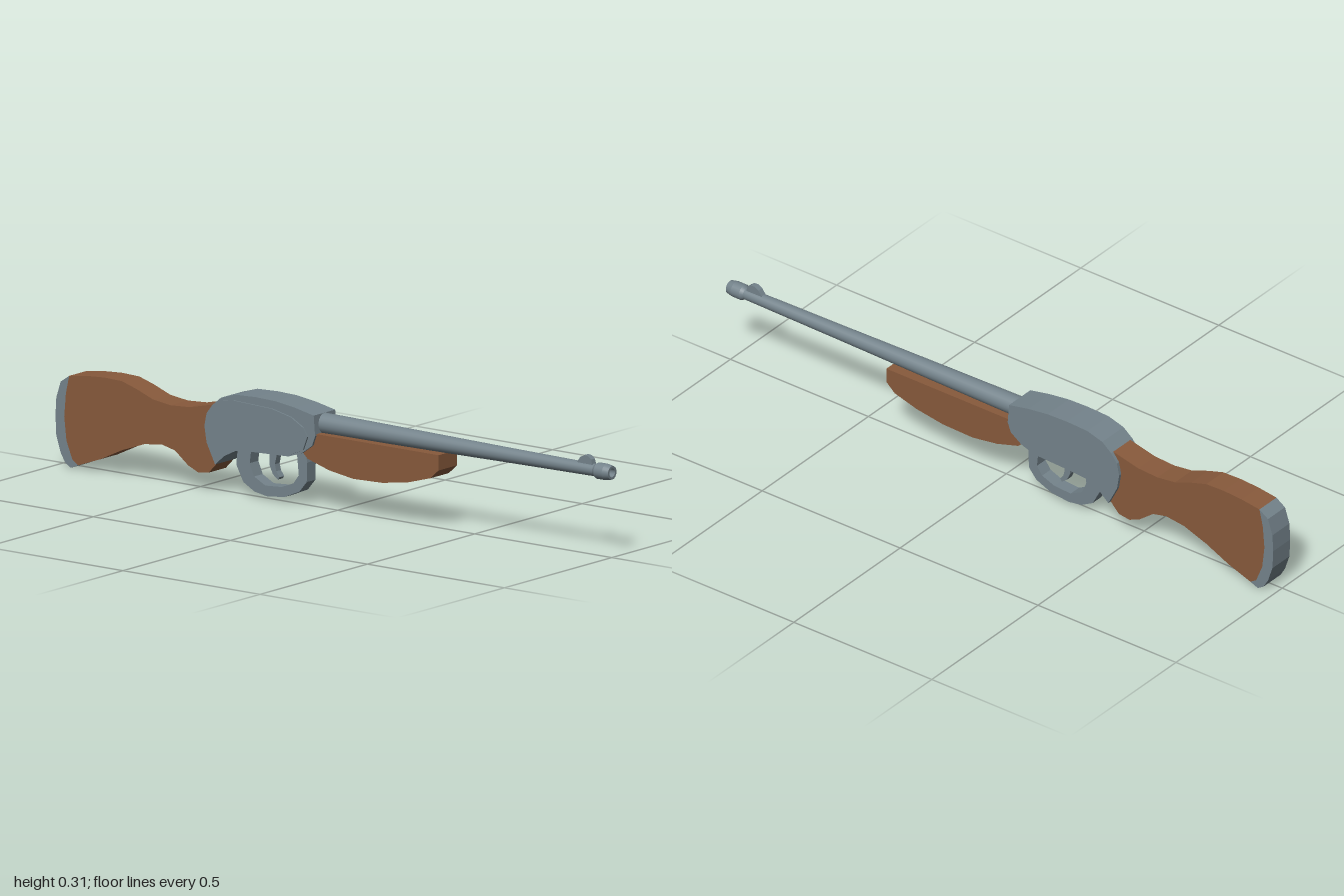
import * as THREE from 'three';

const steel = new THREE.MeshStandardMaterial({ color: 0x74838b });
steel.name = 'steel';
const wood = new THREE.MeshStandardMaterial({ color: 0x885a3c });
wood.name = 'wood';

const MID = -0.002; // centre plane of the body

// Side profile given as [x, y] points, extruded between two depths
function slab(name, points, material, z0, z1) {
  const shape = new THREE.Shape(points.map(([x, y]) => new THREE.Vector2(x, y)));
  const geometry = new THREE.ExtrudeGeometry(shape, { depth: z1 - z0, bevelEnabled: false });
  geometry.translate(0, 0, z0);
  const mesh = new THREE.Mesh(geometry, material);
  mesh.name = name;
  return mesh;
}

// Slab centred on the body plane
const centred = (name, points, material, half) =>
  slab(name, points, material, MID - half, MID + half);

// Turned part along +x from [x, radius] points
function turned(name, points, y) {
  const geometry = new THREE.LatheGeometry(points.map(([x, r]) => new THREE.Vector2(r, x)), 24);
  geometry.rotateZ(-Math.PI / 2);
  geometry.translate(0, y, MID);
  const mesh = new THREE.Mesh(geometry, steel);
  mesh.name = name;
  return mesh;
}

export function createModel() {
  const model = new THREE.Group();
  model.name = 'rifle';

  // Curved joint shared by the stock and the butt plate, bottom to top
  const joint = [[-0.917, 0.011], [-0.938, 0.024], [-0.96, 0.078], [-0.968, 0.147], [-0.962, 0.217], [-0.95, 0.27]];

  // Wooden shoulder stock
  model.add(centred('stock', [
    ...joint,
    [-0.885, 0.279], [-0.82, 0.283], [-0.757, 0.281], [-0.703, 0.265], [-0.644, 0.243],
    [-0.58, 0.235], [-0.51, 0.239], [-0.42, 0.26], [-0.4, 0.2], [-0.41, 0.088],
    [-0.441, 0.056], [-0.479, 0.051], [-0.516, 0.067], [-0.564, 0.104], [-0.612, 0.115],
    [-0.676, 0.107], [-0.757, 0.078], [-0.837, 0.04],
  ], wood, 0.04));

  // Metal butt plate
  model.add(centred('buttPlate', [
    ...joint,
    [-0.981, 0.249], [-0.997, 0.2], [-1, 0.147], [-0.997, 0.088], [-0.981, 0.04],
    [-0.965, 0.013], [-0.944, 0],
  ], steel, 0.04));

  // Receiver body
  model.add(centred('receiver', [
    [-0.42, 0.26], [-0.388, 0.286], [-0.334, 0.302], [-0.26, 0.305], [-0.19, 0.303],
    [-0.12, 0.294], [-0.05, 0.28], [-0.045, 0.22], [-0.056, 0.19], [-0.094, 0.163],
    [-0.142, 0.147], [-0.27, 0.142], [-0.334, 0.137], [-0.377, 0.115], [-0.41, 0.086],
    [-0.441, 0.147], [-0.449, 0.195], [-0.441, 0.233],
  ], steel, 0.05));

  // Raised plate on the front side of the receiver
  model.add(slab('sidePlate', [
    [-0.38, 0.278], [-0.34, 0.285], [-0.2, 0.28], [-0.13, 0.265], [-0.085, 0.24],
    [-0.07, 0.215], [-0.085, 0.175], [-0.13, 0.155], [-0.2, 0.155], [-0.36, 0.152], [-0.392, 0.185],
  ], steel, 0.046, 0.053));

  // Fore-end under the barrel
  model.add(centred('foreEnd', [
    [-0.094, 0.163], [-0.05, 0.225], [0.4, 0.225], [0.4, 0.18], [0.37, 0.153], [0.29, 0.13],
    [0.195, 0.115], [0.088, 0.112], [0, 0.125], [-0.078, 0.148],
  ], wood, 0.043));

  // Trigger guard loop and trigger
  model.add(centred('triggerGuard', [
    [-0.35, 0.145], [-0.356, 0.088], [-0.33, 0.04], [-0.29, 0.018], [-0.243, 0.01],
    [-0.18, 0.017], [-0.126, 0.04], [-0.099, 0.072], [-0.097, 0.13], [-0.105, 0.165],
    [-0.135, 0.155], [-0.128, 0.088], [-0.147, 0.062], [-0.19, 0.045], [-0.25, 0.041],
    [-0.291, 0.062], [-0.307, 0.099], [-0.3, 0.15],
  ], steel, 0.02));
  model.add(centred('trigger', [
    [-0.242, 0.15], [-0.241, 0.1], [-0.23, 0.076], [-0.212, 0.062], [-0.205, 0.07],
    [-0.217, 0.086], [-0.222, 0.106], [-0.212, 0.15],
  ], steel, 0.011));

  // Tapered barrel and hollow muzzle ring
  model.add(turned('barrel', [[-0.07, 0.031], [0.25, 0.027], [0.6, 0.022], [0.95, 0.018]], 0.249));
  model.add(turned('muzzle', [
    [0.94, 0.018], [0.95, 0.024], [0.95, 0.024], [0.98, 0.024], [0.98, 0.024],
    [1, 0.02], [1, 0.02], [1, 0.013], [1, 0.013], [0.96, 0.013], [0.96, 0.013], [0.96, 0],
  ], 0.249));

  // Front sight
  model.add(centred('frontSight', [
    [0.875, 0.262], [0.89, 0.282], [0.905, 0.29], [0.918, 0.289], [0.93, 0.28], [0.935, 0.262],
  ], steel, 0.009));

  return model;
}
